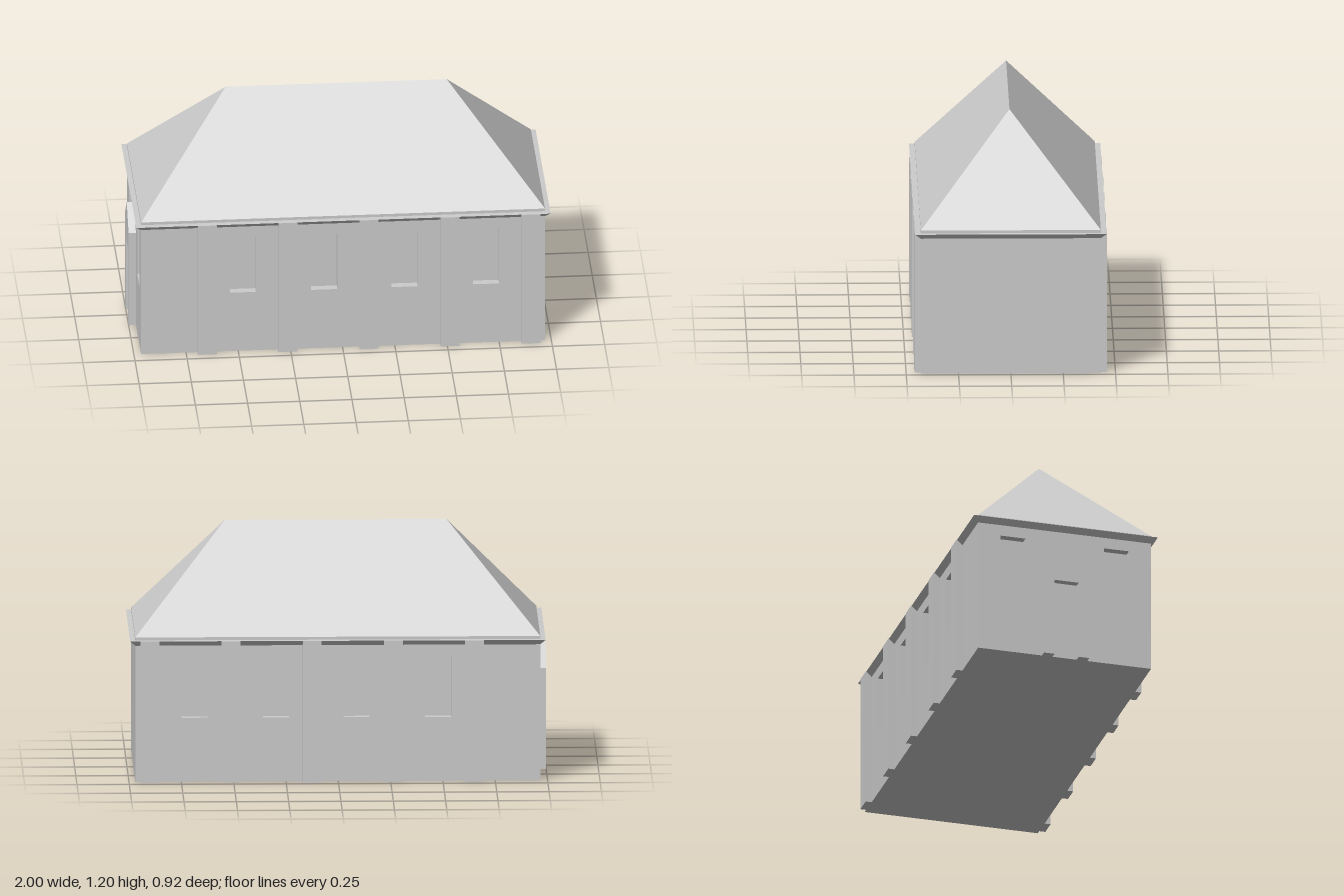
import * as THREE from 'three';

// Main extents of the building
const X0 = -0.965, X1 = 0.97, Z = 0.43, RECESS = 0.04;
const EAVE_LOW = 0.66, EAVE = 0.685, ROOF_FOOT = 0.7, RIDGE = 1.195;
const WINDOW_LOW = 0.31, WINDOW_HIGH = 0.605;

const stone = new THREE.MeshStandardMaterial({ color: 0xcccccc });
stone.name = 'paleGrey';

function add(group, name, geometry) {
  const mesh = new THREE.Mesh(geometry, stone);
  mesh.name = name;
  group.add(mesh);
  return mesh;
}

// Box given by its two extreme corners
function span(x0, x1, y0, y1, z0, z1) {
  return new THREE.BoxGeometry(x1 - x0, y1 - y0, z1 - z0)
    .translate((x0 + x1) / 2, (y0 + y1) / 2, (z0 + z1) / 2);
}

function extrude(shape, depth) {
  return new THREE.ExtrudeGeometry(shape, { depth, bevelEnabled: false });
}

// Wall slab pierced by a row of window openings
function wall(a, b, windows) {
  const shape = new THREE.Shape([[a, 0], [b, 0], [b, EAVE], [a, EAVE]]
    .map(p => new THREE.Vector2(...p)));
  for (const [l, r] of windows) {
    shape.holes.push(new THREE.Path([[l, WINDOW_LOW], [l, WINDOW_HIGH], [r, WINDOW_HIGH], [r, WINDOW_LOW]]
      .map(p => new THREE.Vector2(...p))));
  }
  return extrude(shape, RECESS);
}

// Flat-sided loft through rectangles [y, x0, x1, half depth]
function loft(levels) {
  const rings = levels.map(([y, x0, x1, z]) =>
    [[x0, z], [x1, z], [x1, -z], [x0, -z]].map(([x, w]) => new THREE.Vector3(x, y, w)));
  const points = [];
  for (let i = 0; i < rings.length - 1; i++) {
    for (let k = 0; k < 4; k++) {
      const n = (k + 1) % 4;
      const a = rings[i][k], b = rings[i][n], c = rings[i + 1][n], d = rings[i + 1][k];
      points.push(a, b, c);
      if (c.distanceTo(d) > 1e-6) points.push(a, c, d);
    }
  }
  const geometry = new THREE.BufferGeometry().setFromPoints(points);
  geometry.computeVertexNormals();
  return geometry;
}

export function createModel() {
  const house = new THREE.Group();
  house.name = 'hall';

  // Solid core forms the backs of the window recesses and the plain end wall
  add(house, 'core', span(X0 + RECESS, X1, 0, EAVE, -Z + RECESS, Z - RECESS));

  // Long walls with four windows each
  const windows = [-0.54, -0.15, 0.235, 0.625].map(x => [x, x + 0.125]);
  add(house, 'frontWall', wall(X0, X1, windows)).position.z = Z - RECESS;
  add(house, 'backWall', wall(X0, X1, windows)).position.z = -Z;

  // Entrance end wall with two windows
  const endWall = wall(-Z + RECESS, Z - RECESS, [[-0.32, -0.195], [0.195, 0.32]]);
  endWall.rotateY(-Math.PI / 2);
  add(house, 'entranceWall', endWall).position.x = X0 + RECESS;

  // Pilasters along both long walls
  for (const x of [-0.695, -0.308, 0.08, 0.468, 0.855]) {
    add(house, 'frontPilaster', span(x, x + 0.09, 0, EAVE, Z, Z + 0.03));
    add(house, 'backPilaster', span(x, x + 0.09, 0, EAVE, -Z - 0.03, -Z));
  }

  // Gabled door surround
  const surround = new THREE.Shape([
    [-0.113, 0], [-0.06, 0], [-0.06, 0.39], [0.06, 0.39], [0.06, 0],
    [0.113, 0], [0.113, 0.49], [0, 0.6], [-0.113, 0.49],
  ].map(p => new THREE.Vector2(...p)));
  add(house, 'doorSurround', extrude(surround, 1 + X0).rotateY(-Math.PI / 2)).position.x = X0;

  // Flared cornice with a flat ledge
  add(house, 'cornice', loft([
    [EAVE_LOW, X0, X1, Z],
    [EAVE, X0 - 0.025, X1 + 0.025, Z + 0.027],
    [EAVE + 0.001, X0, X1, Z],
  ]));

  // Hipped roof with a short upright foot
  add(house, 'roof', loft([
    [EAVE, X0, X1, Z],
    [ROOF_FOOT, X0, X1, Z],
    [RIDGE, -0.527, 0.533, 0],
  ]));

  return house;
}
